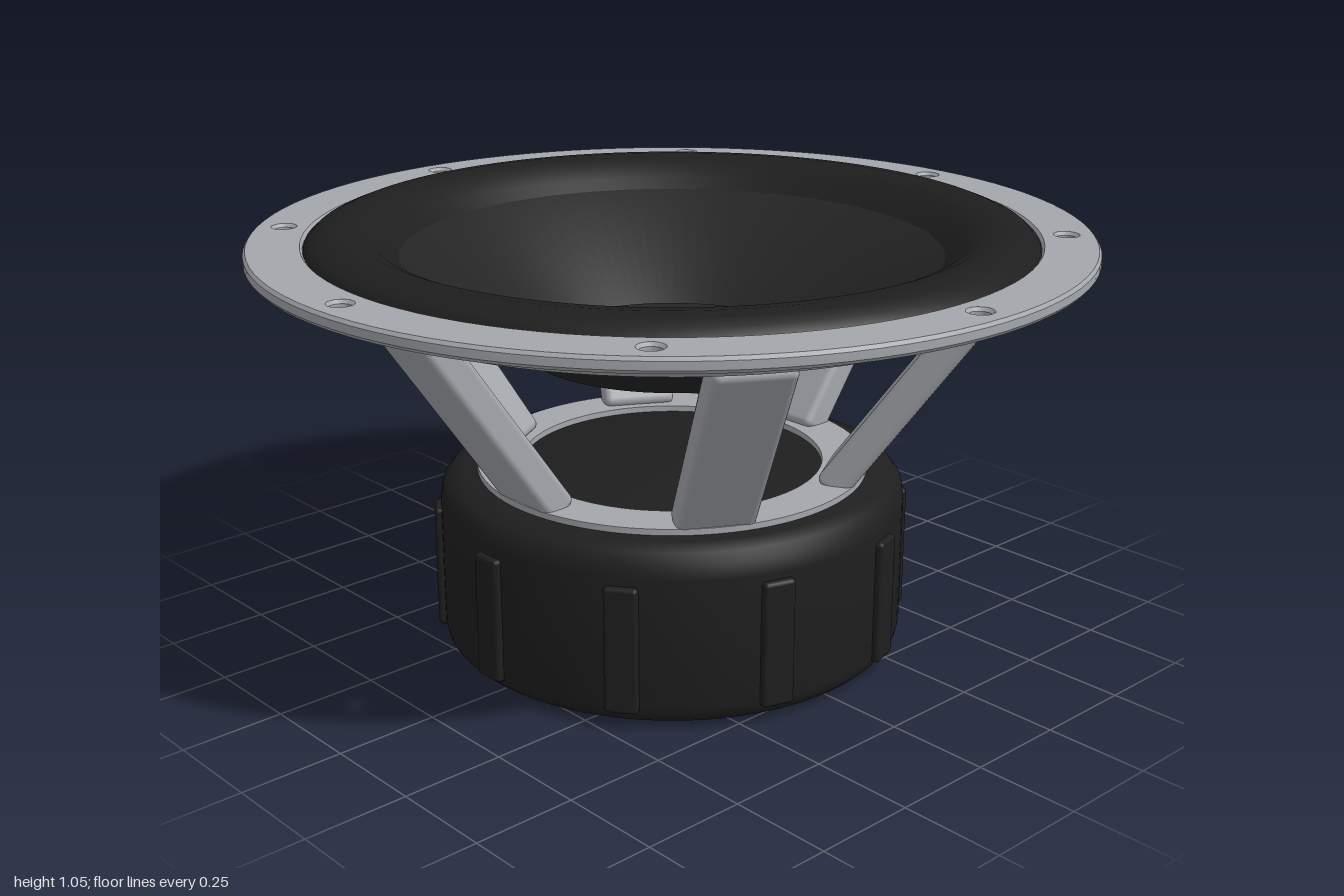
import * as THREE from 'three';
import { toCreasedNormals } from 'three/addons/utils/BufferGeometryUtils.js';
import { RoundedBoxGeometry } from 'three/addons/geometries/RoundedBoxGeometry.js';

const material = (name, color, side = THREE.FrontSide) => {
  const m = new THREE.MeshStandardMaterial({ color, side });
  m.name = name;
  return m;
};

export function createModel() {
  const metal = material('cast metal', 0xa3a6ab);
  const rubber = material('black rubber', 0x1e1e1e, THREE.DoubleSide);
  const paper = material('cone black', 0x242424, THREE.DoubleSide);
  const board = material('terminal board black', 0x1a1a1a);
  const silver = material('silver terminal', 0xb8babc);
  const orange = material('orange terminal', 0xd9640c);

  const model = new THREE.Group();
  model.name = 'loudspeaker';

  const add = (parent, name, geometry, mat, x = 0, y = 0, z = 0) => {
    const mesh = new THREE.Mesh(geometry, mat);
    mesh.name = name;
    mesh.position.set(x, y, z);
    parent.add(mesh);
    return mesh;
  };
  // Revolved part; profile is [radius, height] pairs
  const lathe = (name, profile, mat, crease = 0.6) => {
    const pts = profile.map(([r, y]) => new THREE.Vector2(r, y));
    return add(model, name, toCreasedNormals(new THREE.LatheGeometry(pts, 96), crease), mat);
  };
  // Group whose +z points radially outward at the given heading
  const radial = (name, angle) => {
    const g = new THREE.Group();
    g.name = name;
    g.rotation.y = angle;
    model.add(g);
    return g;
  };

  // Mounting flange with eight bolt holes
  const ring = new THREE.Shape().absarc(0, 0, 1, 0, Math.PI * 2);
  ring.holes.push(new THREE.Path().absarc(0, 0, 0.865, 0, Math.PI * 2, true));
  for (let i = 0; i < 8; i++) {
    const a = i * Math.PI / 4;
    ring.holes.push(new THREE.Path().absarc(0.93 * Math.cos(a), 0.93 * Math.sin(a), 0.025, 0, Math.PI * 2, true));
  }
  const flange = new THREE.ExtrudeGeometry(ring, {
    depth: 0.019, curveSegments: 48, bevelEnabled: true,
    bevelThickness: 0.008, bevelSize: 0.006, bevelOffset: -0.006, bevelSegments: 1,
  });
  flange.rotateX(-Math.PI / 2);
  add(model, 'flange', toCreasedNormals(flange, 0.5), metal, 0, 0.998, 0);

  // Basket rim below the flange
  lathe('basketRim', [[0.67, 0.992], [0.67, 0.935], [0.845, 0.935], [0.86, 0.95], [0.86, 0.992]], metal);

  // Rolled surround, cone and dust cap
  lathe('surround', [[0.868, 1.005], [0.862, 1.022], [0.845, 1.037], [0.815, 1.049], [0.78, 1.053],
    [0.74, 1.048], [0.705, 1.033], [0.675, 1.008], [0.645, 0.982]], rubber, 1.2);
  lathe('cone', [[0.655, 0.985], [0.64, 0.98], [0.355, 0.737], [0.335, 0.737]], paper);
  lathe('dustCap', [[0.345, 0.748], [0.26, 0.759], [0.17, 0.767], [0.08, 0.771], [0, 0.772]], paper, 1);

  // Six slanted spokes
  const lean = Math.atan2(0.345, 0.485);
  for (let i = 0; i < 6; i++) {
    const arm = radial('spokeArm', Math.PI / 6 + i * Math.PI / 3 + Math.PI / 3);
    const spoke = add(arm, 'spoke', new RoundedBoxGeometry(0.185, 0.61, 0.08, 2, 0.018), metal, 0, 0.69, 0.592);
    spoke.rotation.x = lean;
  }

  // Lower basket ring on the magnet
  lathe('lowerRing', [[0.37, 0.43], [0.48, 0.43], [0.48, 0.457], [0.37, 0.457], [0.37, 0.43]], metal);

  // Magnet boot with rounded edges
  lathe('magnetBoot', [[0.38, 0.006], [0.52, 0.006], [0.548, 0.013], [0.566, 0.03], [0.572, 0.055],
    [0.572, 0.37], [0.566, 0.405], [0.548, 0.428], [0.515, 0.442], [0, 0.442]], rubber, 0.8);
  for (let i = 0; i < 10; i++) {
    const rib = radial('bootRib', Math.PI / 2 + i * Math.PI / 5);
    add(rib, 'rib', new RoundedBoxGeometry(0.08, 0.31, 0.04, 2, 0.01), rubber, 0, 0.198, 0.568);
  }

  // Rear plate with its vent
  lathe('backPlate', [[0.084, 0.03], [0.084, 0], [0.388, 0], [0.394, 0.006], [0.394, 0.03]], metal);
  lathe('vent', [[0, 0.028], [0.086, 0.028]], rubber);

  // Terminal board lying on one rear spoke
  const terminals = radial('terminals', Math.PI * 5 / 6);
  const tilt = new THREE.Group();
  tilt.name = 'terminalBoard';
  tilt.position.set(0, 0.692, 0.592);
  tilt.rotation.x = lean;
  terminals.add(tilt);
  add(tilt, 'board', new RoundedBoxGeometry(0.56, 0.22, 0.045, 2, 0.012), board, 0, 0.015, 0.0625);
  add(tilt, 'silverTerminal', new RoundedBoxGeometry(0.11, 0.1, 0.055, 2, 0.008), silver, -0.15, 0.012, 0.108);
  add(tilt, 'orangeTerminal', new RoundedBoxGeometry(0.11, 0.1, 0.055, 2, 0.008), orange, 0.15, 0.012, 0.108);

  // Wire drooping between the terminals
  const path = new THREE.CatmullRomCurve3([
    [-0.15, 0.61, 0.675], [-0.135, 0.555, 0.685], [-0.08, 0.492, 0.685], [0, 0.472, 0.685],
    [0.08, 0.492, 0.685], [0.135, 0.555, 0.685], [0.15, 0.61, 0.675],
  ].map((p) => new THREE.Vector3(...p)));
  add(terminals, 'wire', new THREE.TubeGeometry(path, 40, 0.015, 10), orange);

  return model;
}
